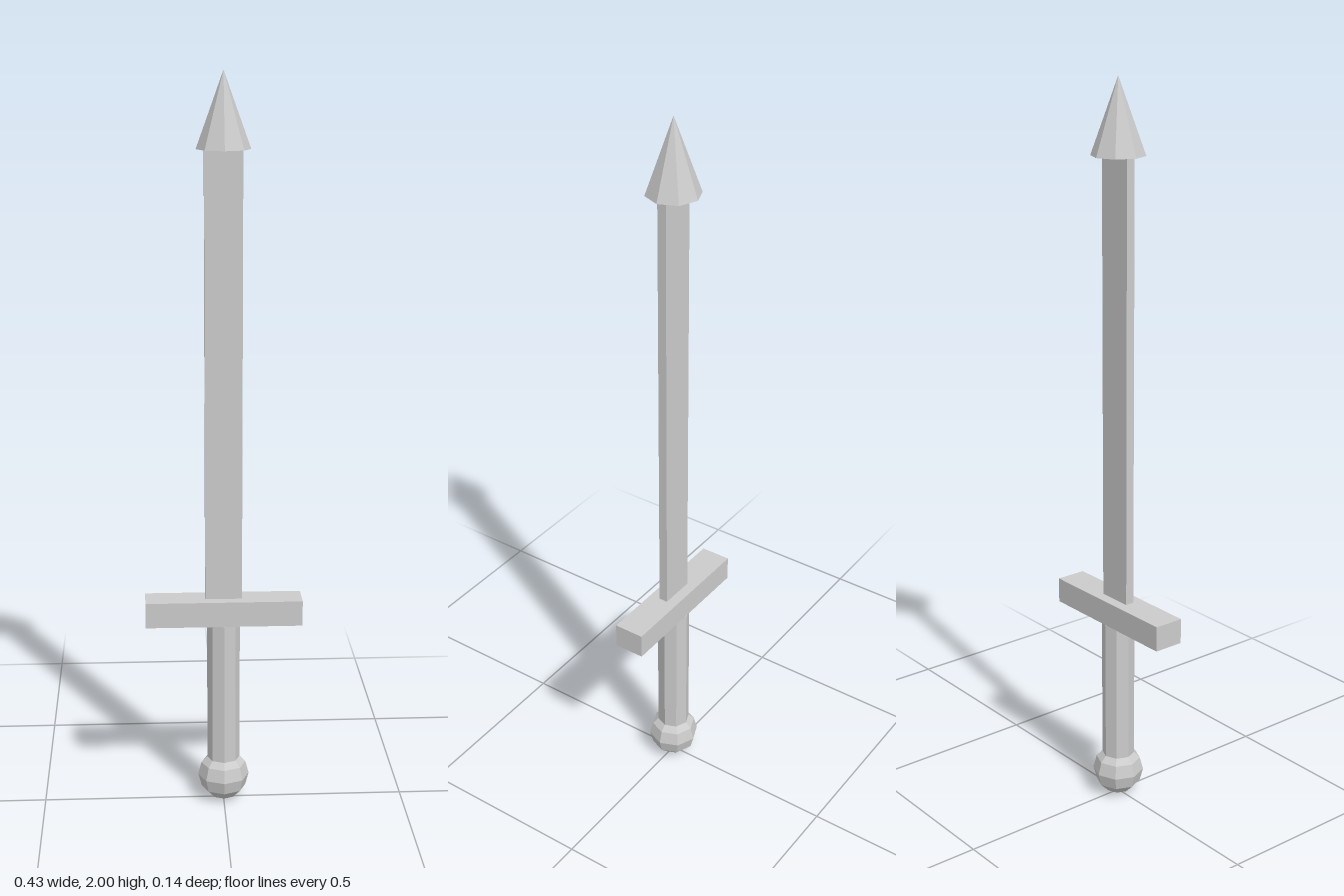
import * as THREE from 'three';

export function createModel() {
  const sword = new THREE.Group();
  sword.name = 'sword';
  const material = new THREE.MeshStandardMaterial({ color: 0xcccccc, flatShading: true });

  const add = (name, geometry, y) => {
    const mesh = new THREE.Mesh(geometry, material);
    mesh.name = name;
    mesh.position.y = y;
    sword.add(mesh);
  };

  // Handle: faceted ball and eight-sided grip
  add('pommel', new THREE.SphereGeometry(0.071, 8, 6), 0.071);
  add('grip', new THREE.CylinderGeometry(0.045, 0.045, 0.425, 8), 0.3125);

  // Crossguard and flat blade
  add('guard', new THREE.BoxGeometry(0.427, 0.07, 0.085), 0.56);
  add('blade', new THREE.BoxGeometry(0.1, 1.21, 0.025), 1.198);

  // Pointed eight-sided tip
  add('tip', new THREE.ConeGeometry(0.071, 0.197, 8), 1.9015);

  return sword;
}
